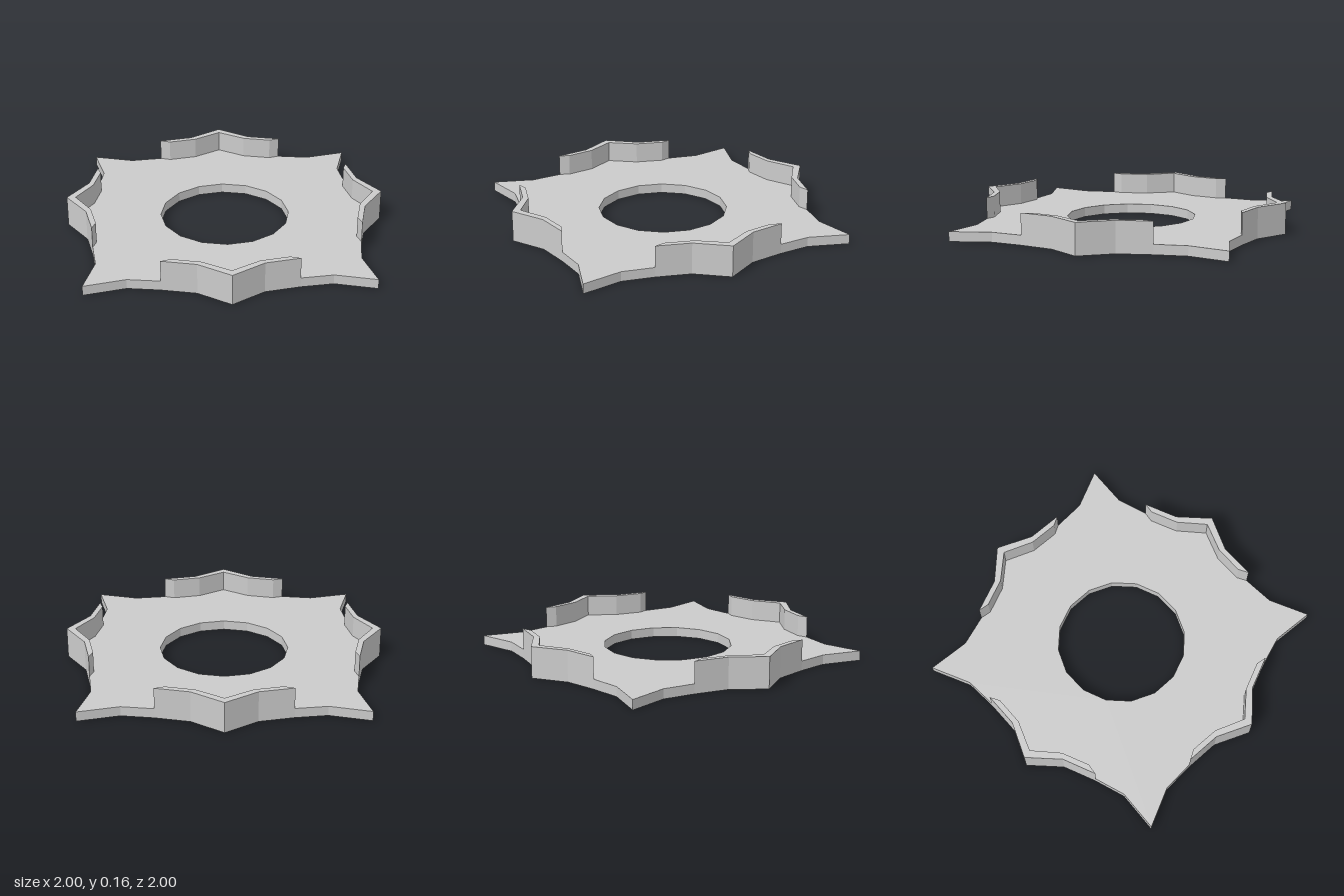
import * as THREE from 'three';

const PLATE = 0.05, TOP = 0.16, HOLE = 0.335;
const material = new THREE.MeshStandardMaterial({ color: 0xcccccc, flatShading: true });

// Extrudes a flat outline upward from height y
function slab(name, shape, y, height) {
  const geometry = new THREE.ExtrudeGeometry(shape, { depth: height, bevelEnabled: false });
  geometry.rotateX(-Math.PI / 2).translate(0, y, 0);
  const mesh = new THREE.Mesh(geometry, material);
  mesh.name = name;
  return mesh;
}

// Completes a half profile by mirroring it across the diagonal
const mirrored = (half, corner) => [...half, corner, ...half.map(([x, y]) => [y, x]).reverse()];
const turn = ([x, y], k) => {
  for (let i = 0; i < k; i++) [x, y] = [-y, x];
  return new THREE.Vector2(x, y);
};

export function createModel() {
  const model = new THREE.Group();
  model.name = 'starPlate';

  const rim = [[0.715, 0.24], [0.618, 0.39], [0.58, 0.58]];
  const quarter = mirrored([[1, 0], [0.815, 0.11], rim[0], rim[1]], rim[2]);
  quarter.pop(); // the next quarter begins with this tip

  // Eight-pointed plate with a sixteen-sided central hole
  const outline = [];
  for (let k = 0; k < 4; k++) outline.push(...quarter.map((p) => turn(p, k)));
  const plate = new THREE.Shape(outline);
  const hole = [];
  for (let i = 0; i < 16; i++) {
    const a = (-i * Math.PI) / 8;
    hole.push(new THREE.Vector2(HOLE * Math.cos(a), HOLE * Math.sin(a)));
  }
  plate.holes.push(new THREE.Path(hole));
  model.add(slab('basePlate', plate, 0, PLATE));

  // Raised lip around each short diagonal point, tapering at both ends
  const outer = mirrored([rim[0], rim[1]], rim[2]);
  const inner = mirrored([[0.665, 0.265], [0.585, 0.39]], [0.548, 0.548]).reverse();
  const lip = [...outer, ...inner];
  for (let k = 0; k < 4; k++) {
    const shape = new THREE.Shape(lip.map((p) => turn(p, k)));
    model.add(slab('cornerLip' + (k + 1), shape, PLATE, TOP - PLATE));
  }
  return model;
}
